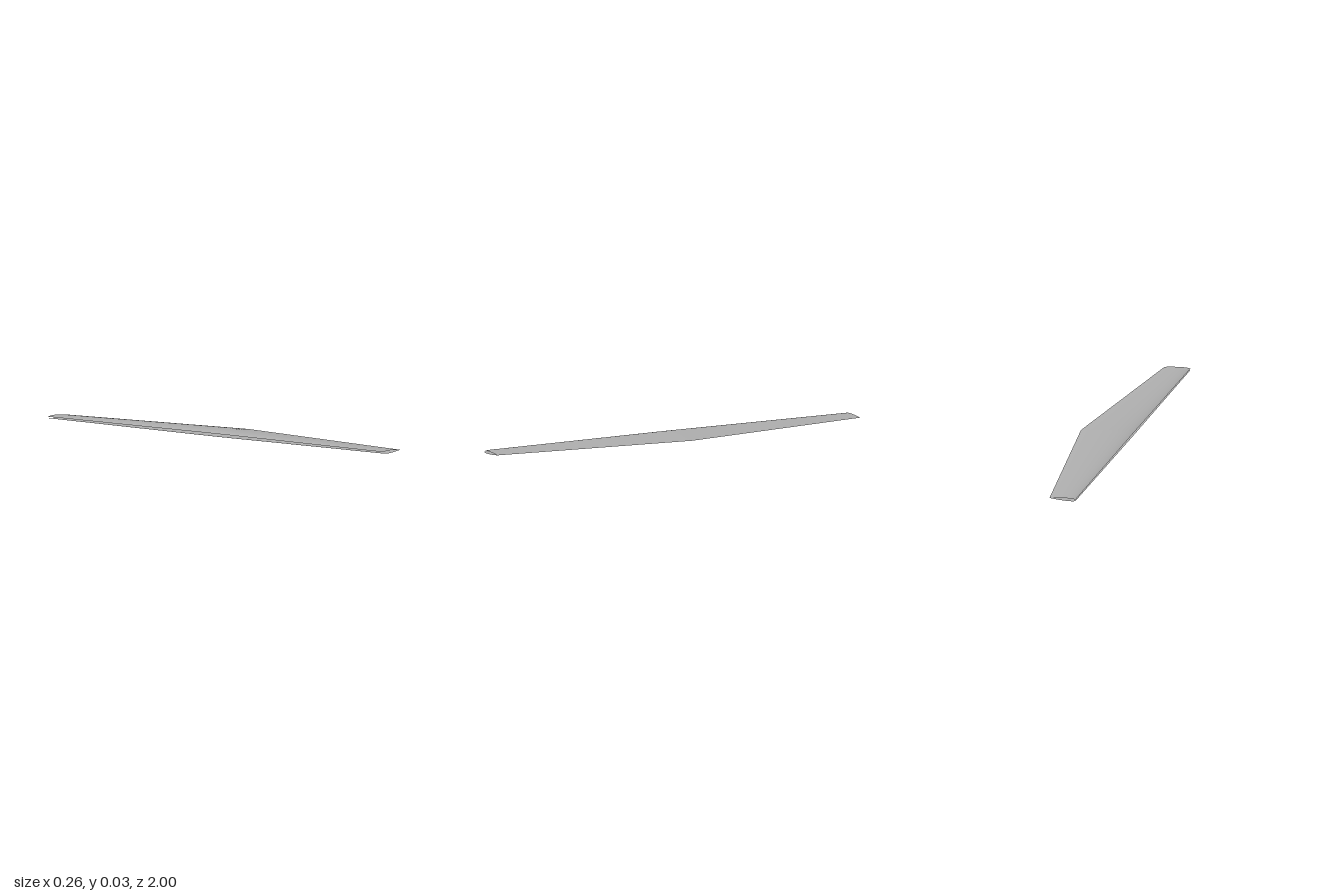
import * as THREE from 'three';

const LEAD = -0.129;      // x of the straight leading edge
const MID_Y = 0.0138;     // height of the chord plane
const ROOT_CHORD = 0.258;
const TIP_CHORD = 0.129;
const HALF_SPAN = 1;
const STEPS = 24;
const NOSE_CUT = 0.03;    // the section starts just behind its nose, leaving an open slot

// Half thickness of a symmetric aerofoil, per unit of chord
function halfThickness(u) {
  return 0.52 * (0.2969 * Math.sqrt(u) - 0.126 * u - 0.3516 * u ** 2 + 0.2843 * u ** 3 - 0.1036 * u ** 4);
}

// One skin panel from root to tip: end is +1 front / -1 back, face is +1 upper / -1 lower
function skinPanel(end, face) {
  const positions = [];
  const indices = [];
  for (const [chord, z] of [[ROOT_CHORD, 0], [TIP_CHORD, end * HALF_SPAN]]) {
    for (let i = 0; i <= STEPS; i++) {
      const s = (i / STEPS) ** 1.5;               // finer towards the nose
      const u = NOSE_CUT + (1 - NOSE_CUT) * s;
      const y = face * halfThickness(u) * chord / (1 - NOSE_CUT);
      positions.push(LEAD + s * chord, MID_Y + y, z);
    }
  }
  for (let i = 0; i < STEPS; i++) {
    const a = i, b = i + 1, c = i + STEPS + 1, d = c + 1;
    if (end * face < 0) indices.push(a, b, c, b, d, c);
    else indices.push(a, c, b, b, c, d);
  }
  const geometry = new THREE.BufferGeometry();
  geometry.setAttribute('position', new THREE.Float32BufferAttribute(positions, 3));
  geometry.setIndex(indices);
  geometry.computeVertexNormals();
  return geometry;
}

export function createModel() {
  const model = new THREE.Group();
  model.name = 'wing';
  const skin = new THREE.MeshStandardMaterial({ color: 0xb0b0b0, side: THREE.DoubleSide });
  skin.name = 'light grey';

  // Two mirrored half wings, open at the tips and along the nose
  for (const end of [1, -1]) {
    const half = new THREE.Group();
    half.name = end > 0 ? 'frontHalfWing' : 'backHalfWing';
    for (const face of [1, -1]) {
      const mesh = new THREE.Mesh(skinPanel(end, face), skin);
      mesh.name = face > 0 ? 'upperSkin' : 'lowerSkin';
      half.add(mesh);
    }
    model.add(half);
  }
  return model;
}
